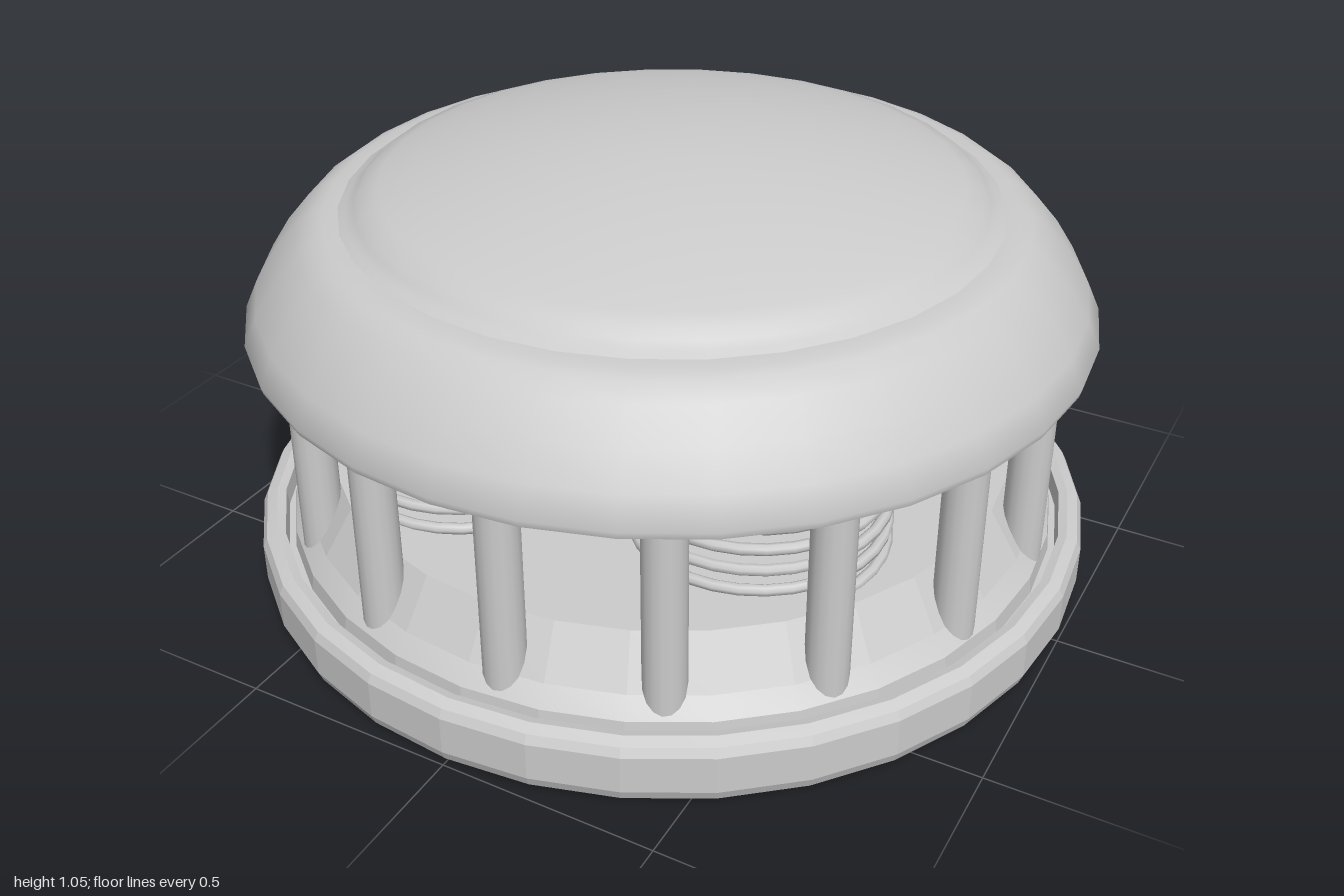
import * as THREE from 'three';
import { toCreasedNormals } from 'three/addons/utils/BufferGeometryUtils.js';

const SIDES = 32;
const material = new THREE.MeshStandardMaterial({ color: 0xcccccc });

function addMesh(parent, name, geometry) {
  const mesh = new THREE.Mesh(geometry, material);
  mesh.name = name;
  parent.add(mesh);
  return mesh;
}

// Closed turned body from [radius, height] pairs listed bottom to top
function turned(profile, crease) {
  const points = profile.map(([r, y]) => new THREE.Vector2(r, y));
  return toCreasedNormals(new THREE.LatheGeometry(points, SIDES), crease);
}

class Helix extends THREE.Curve {
  constructor(radius, y0, y1, turns) {
    super();
    Object.assign(this, { radius, y0, y1, turns });
  }
  getPoint(t, target = new THREE.Vector3()) {
    const a = t * this.turns * Math.PI * 2;
    return target.set(
      this.radius * Math.sin(a),
      this.y0 + (this.y1 - this.y0) * t,
      this.radius * Math.cos(a)
    );
  }
}

export function createModel() {
  const model = new THREE.Group();
  model.name = 'ventedCap';

  // Base disc with rounded rim, narrow groove and sloping shoulder
  addMesh(model, 'base', turned([
    [0, 0], [0.965, 0], [0.99, 0.01], [1, 0.035], [1, 0.125], [0.99, 0.145],
    [0.965, 0.155], [0.945, 0.15], [0.94, 0.11], [0.925, 0.11], [0.92, 0.15],
    [0.885, 0.19], [0.815, 0.3], [0, 0.3],
  ], 0.15));

  // Flared roof with a flat underside and a shallow ledge on top
  addMesh(model, 'roof', turned([
    [0, 0.66], [0.95, 0.66], [0.96, 0.643], [0.975, 0.643], [0.98, 0.66],
    [0.95, 0.725], [0.905, 0.795], [0.85, 0.86], [0.81, 0.89], [0.785, 0.897],
    [0.745, 0.9], [0, 0.9],
  ], 0.75));

  // Domed lid, blending into the ledge through a small fillet
  addMesh(model, 'lid', turned([
    [0, 0.895], [0.76, 0.895], [0.735, 0.908], [0.715, 0.92], [0.7, 0.938],
    [0.66, 0.953], [0.58, 0.977], [0.46, 1.005], [0.32, 1.031],
    [0.16, 1.049], [0, 1.055],
  ], 0.6));

  // Ring of posts joining base and roof
  const posts = new THREE.Group();
  posts.name = 'posts';
  model.add(posts);
  const postGeometry = new THREE.CylinderGeometry(0.048, 0.048, 0.52, 16);
  for (let i = 0; i < 16; i++) {
    const a = THREE.MathUtils.degToRad(4.7 + i * 22.5);
    addMesh(posts, 'post', postGeometry)
      .position.set(0.87 * Math.sin(a), 0.405, 0.87 * Math.cos(a) - 0.01);
  }

  // Four coil springs standing on the base
  const springs = new THREE.Group();
  springs.name = 'springs';
  model.add(springs);
  const coil = new THREE.TubeGeometry(new Helix(0.28, 0.3, 0.66, 7), 224, 0.013, 8);
  for (let i = 0; i < 4; i++) {
    const a = Math.atan2(0.39, 0.315) + i * Math.PI / 2;
    const spring = addMesh(springs, 'spring', coil);
    spring.position.set(0.5 * Math.sin(a), 0, 0.5 * Math.cos(a));
    spring.rotation.y = a;
  }

  return model;
}
